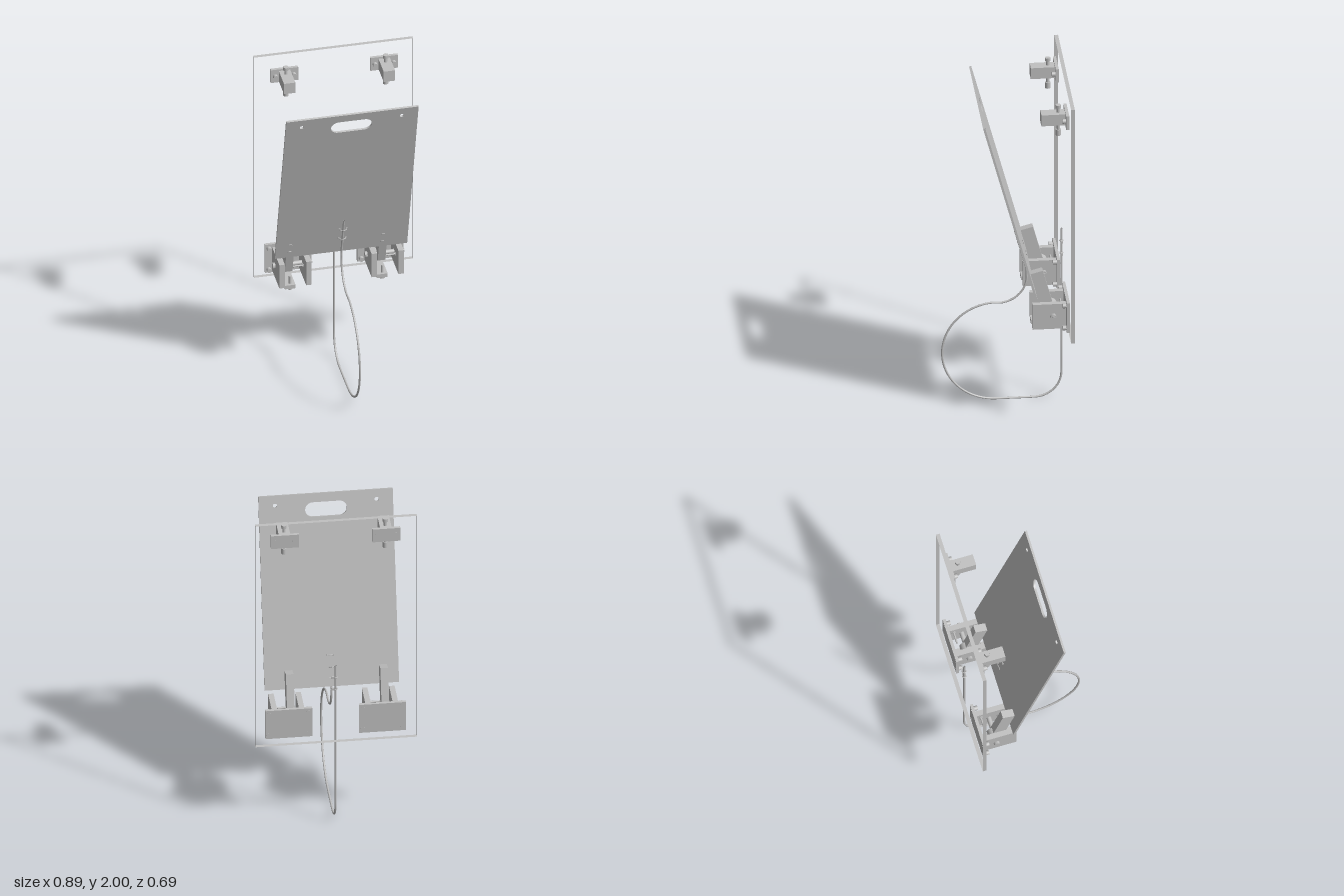
import * as THREE from 'three';

const grey = new THREE.MeshStandardMaterial({ color: 0xc0c0c0, side: THREE.DoubleSide });
grey.name = 'plain grey';

function add(parent, name, geometry, x = 0, y = 0, z = 0) {
  const mesh = new THREE.Mesh(geometry, grey);
  mesh.name = name;
  mesh.position.set(x, y, z);
  parent.add(mesh);
  return mesh;
}

// Box given by its limits on each axis
function box(parent, name, x0, x1, y0, y1, z0, z1) {
  return add(parent, name, new THREE.BoxGeometry(x1 - x0, y1 - y0, z1 - z0),
    (x0 + x1) / 2, (y0 + y1) / 2, (z0 + z1) / 2);
}

// Rod along one axis, from a to b on that axis
function rod(parent, name, axis, r, a, b, u, v, sides = 20) {
  const g = new THREE.CylinderGeometry(r, r, b - a, sides);
  const m = (a + b) / 2;
  if (axis === 'x') return add(parent, name, g.rotateZ(Math.PI / 2), m, u, v);
  if (axis === 'z') return add(parent, name, g.rotateX(Math.PI / 2), u, v, m);
  return add(parent, name, g, u, m, v);
}

function holePath(x, y, r, half = 0) {
  const p = new THREE.Path();
  p.absarc(x + half, y, r, -Math.PI / 2, Math.PI / 2, false);
  p.absarc(x - half, y, r, Math.PI / 2, Math.PI * 1.5, false);
  p.closePath();
  return p;
}

const TILT = Math.PI / 12;

// Leaning panel with handle slot, swing arms and cable ties
function makePanel() {
  const panel = new THREE.Group();
  panel.name = 'leaningPanel';
  const L = 1.115, w = 0.37;
  const shape = new THREE.Shape([[-w, 0], [w, 0], [w, L], [-w, L]].map(p => new THREE.Vector2(...p)));
  shape.holes.push(holePath(0, 1.022, 0.042, 0.073));
  for (const x of [-0.28, 0.28]) shape.holes.push(holePath(x, 1.058, 0.012));
  const g = new THREE.ExtrudeGeometry(shape, { depth: 0.012, bevelEnabled: false, curveSegments: 12 });
  add(panel, 'panelBoard', g, 0, 0, -0.012);

  for (const cx of [-0.26, 0.26]) {
    box(panel, 'swingArm', cx - 0.045, cx - 0.002, -0.131, 0.108, -0.082, -0.012);
    rod(panel, 'armPivotBoss', 'x', 0.038, cx - 0.06, cx - 0.012, -0.131, -0.064, 28);
    for (const s of [0.038, 0.095]) rod(panel, 'armScrew', 'z', 0.011, -0.03, 0.004, cx - 0.03, s);
  }
  for (const s of [0.111, 0.181]) {
    const tie = add(panel, 'panelCableTie', new THREE.TorusGeometry(0.02, 0.003, 6, 24).rotateX(Math.PI / 2), 0, s, -0.001);
    tie.scale.z = 0.8;
    for (const x of [-0.02, 0.02]) rod(panel, 'tieEnd', 'z', 0.006, -0.016, 0.003, x, s, 10);
  }
  panel.position.set(0, 0.793, -0.134);
  panel.rotation.x = TILT;
  return panel;
}

// Lower hinge bracket, the same way round on both sides
function makeHinge(cx) {
  const h = new THREE.Group();
  h.name = 'hingeBracket';
  box(h, 'hingeBackPlate', -0.129, 0.129, 0.595, 0.777, -0.321, -0.304);
  for (const x of [-0.109, 0.109]) for (const y of [0.617, 0.753]) {
    rod(h, 'plateBolt', 'z', 0.013, -0.322, -0.283, x, y);
  }
  for (const x of [-0.09, 0.06]) box(h, 'hingeCheek', x, x + 0.03, 0.605, 0.757, -0.304, -0.12);
  box(h, 'stopBar', -0.06, 0, 0.595, 0.618, -0.304, -0.12);
  // Pivot bolt with head, sleeve and nut
  rod(h, 'pivotBolt', 'x', 0.009, -0.097, 0.117, 0.683, -0.233);
  rod(h, 'pivotHead', 'x', 0.018, -0.104, -0.09, 0.683, -0.233, 6);
  rod(h, 'pivotNut', 'x', 0.018, 0.09, 0.11, 0.683, -0.233, 6);
  rod(h, 'pivotSleeve', 'x', 0.013, -0.012, 0.06, 0.683, -0.233);
  // Stop screw under the bar and two small latch pins
  rod(h, 'stopScrew', 'y', 0.008, 0.59, 0.665, -0.026, -0.142);
  rod(h, 'stopScrewHead', 'y', 0.015, 0.582, 0.595, -0.026, -0.142, 6);
  for (const [y, z] of [[0.735, -0.28], [0.7, -0.178]]) {
    rod(h, 'latchPin', 'x', 0.005, -0.01, 0.055, y, z, 12);
    rod(h, 'latchPinHead', 'x', 0.012, 0.05, 0.055, y, z, 16);
  }
  h.position.x = cx;
  return h;
}

// Upper clamp block with a vertical screw
function makeClamp(cx) {
  const c = new THREE.Group();
  c.name = 'upperClamp';
  box(c, 'clampPlate', -0.077, 0.077, 1.832, 1.915, -0.321, -0.304);
  for (const [x, y] of [[-0.052, 1.873], [0.052, 1.873]]) rod(c, 'clampBolt', 'z', 0.013, -0.322, -0.285, x, y);
  box(c, 'clampBlock', -0.032, 0.032, 1.838, 1.905, -0.304, -0.172);
  rod(c, 'clampScrew', 'y', 0.009, 1.77, 1.945, 0, -0.268);
  rod(c, 'clampScrewHead', 'y', 0.016, 1.93, 1.95, 0, -0.268, 6);
  rod(c, 'clampScrewFoot', 'y', 0.015, 1.765, 1.8, 0, -0.268, 16);
  c.position.x = cx;
  return c;
}

// Hanging cable: straight runs joined by arcs in the z-y plane
function makeCable() {
  const pts = [];
  const put = (z, y) => pts.push(new THREE.Vector3(0, y, z));
  const arc = (cz, cy, r, a0, a1, n) => {
    for (let i = 0; i <= n; i++) {
      const a = THREE.MathUtils.degToRad(a0 + (a1 - a0) * i / n);
      put(cz + r * Math.cos(a), cy + r * Math.sin(a));
    }
  };
  put(-0.059, 1.04);
  put(-0.09, 0.925);
  put(-0.122, 0.8);
  arc(0.03, 0.753, 0.154, 172, 265, 8);
  arc(0.045, 0.306, 0.296, 85, -90, 20);
  put(-0.06, 0.009);
  arc(-0.168, 0.155, 0.146, 270, 180, 8);
  put(-0.314, 0.4);
  put(-0.314, 0.7);
  put(-0.314, 1.04);
  const curve = new THREE.CatmullRomCurve3(pts, false, 'centripetal');
  return new THREE.TubeGeometry(curve, 180, 0.006, 8);
}

export function createModel() {
  const model = new THREE.Group();
  model.name = 'hingedPanelAssembly';

  // Open rim: four edge strips with no front or back sheet
  const rim = new THREE.Group();
  rim.name = 'openRim';
  const X = 0.445, Y0 = 0.56, Y1 = 2, depth = 0.021, zc = -0.3315;
  for (const s of [-1, 1]) {
    add(rim, 'rimSide', new THREE.PlaneGeometry(depth, Y1 - Y0).rotateY(s * Math.PI / 2), s * X, (Y0 + Y1) / 2, zc);
    add(rim, 'rimEnd', new THREE.PlaneGeometry(2 * X, depth).rotateX(-s * Math.PI / 2), 0, s > 0 ? Y1 : Y0, zc);
  }
  model.add(rim);

  model.add(makePanel());
  for (const s of [-1, 1]) model.add(makeHinge(s * 0.258), makeClamp(s * 0.279));

  add(model, 'cable', makeCable());
  // Cable ties on the rear run
  for (const y of [0.89, 0.965]) {
    add(model, 'rearCableTie', new THREE.TorusGeometry(0.009, 0.003, 6, 16).rotateX(Math.PI / 2), 0, y, -0.314);
    box(model, 'rearTieHead', 0.008, 0.024, y - 0.006, y + 0.006, -0.321, -0.31);
    rod(model, 'rearTieTail', 'x', 0.002, 0.02, 0.035, y, -0.317, 8);
  }
  return model;
}
